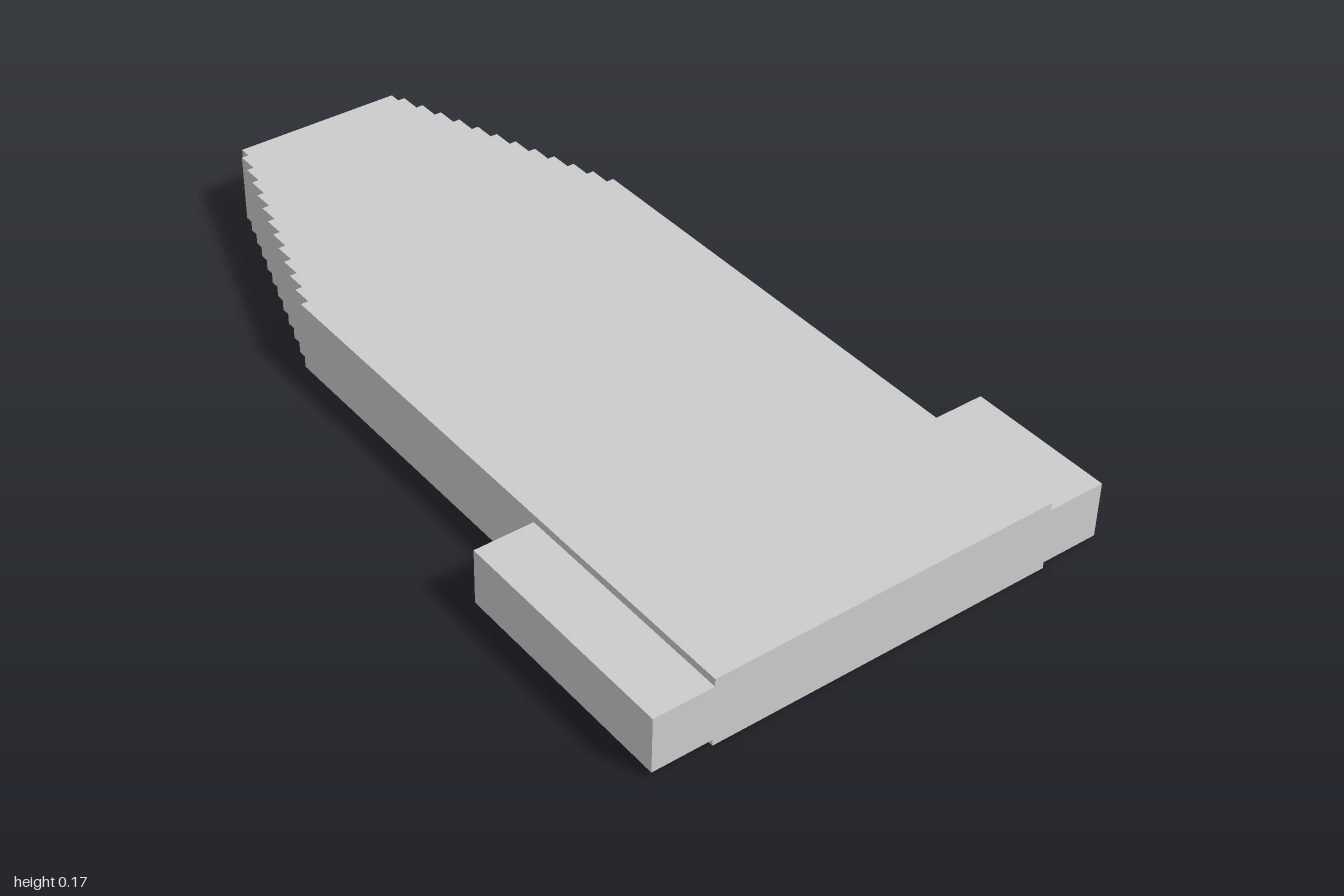
import * as THREE from 'three';

export function createModel() {
  const group = new THREE.Group();
  const material = new THREE.MeshStandardMaterial({ color: 0xcccccc, flatShading: true });

  function add(name, geometry) {
    const mesh = new THREE.Mesh(geometry, material);
    mesh.name = name;
    group.add(mesh);
  }

  // Right half of the deck outline: straight flank, then a stepped taper (outline y is -z)
  const steps = 12, pitch = 0.0517, inset = 0.0172;
  const half = [[0.411, -1], [0.411, 0.403]];
  for (let i = 0; i < steps; i++) {
    const x = 0.393 - i * inset;
    half.push([x, 0.403 + i * pitch], [x, Math.min(1, 0.403 + (i + 1) * pitch)]);
  }
  const mirrored = half.map(([x, y]) => [-x, y]).reverse();
  const outline = new THREE.Shape([...half, ...mirrored].map(([x, y]) => new THREE.Vector2(x, y)));

  // Flat deck with the stepped taper at the back
  const deck = new THREE.ExtrudeGeometry(outline, { depth: 0.165, bevelEnabled: false });
  deck.rotateX(-Math.PI / 2);
  add('deck', deck);

  // Side blocks of unequal length, flush with the front edge
  function sideBlock(name, x0, x1, z0) {
    const block = new THREE.BoxGeometry(x1 - x0, 0.132, 1 - z0);
    block.translate((x0 + x1) / 2, 0.081, (1 + z0) / 2);
    add(name, block);
  }
  sideBlock('rightSideBlock', -0.55, -0.411, 0.445);
  sideBlock('leftSideBlock', 0.411, 0.548, 0.657);

  return group;
}
